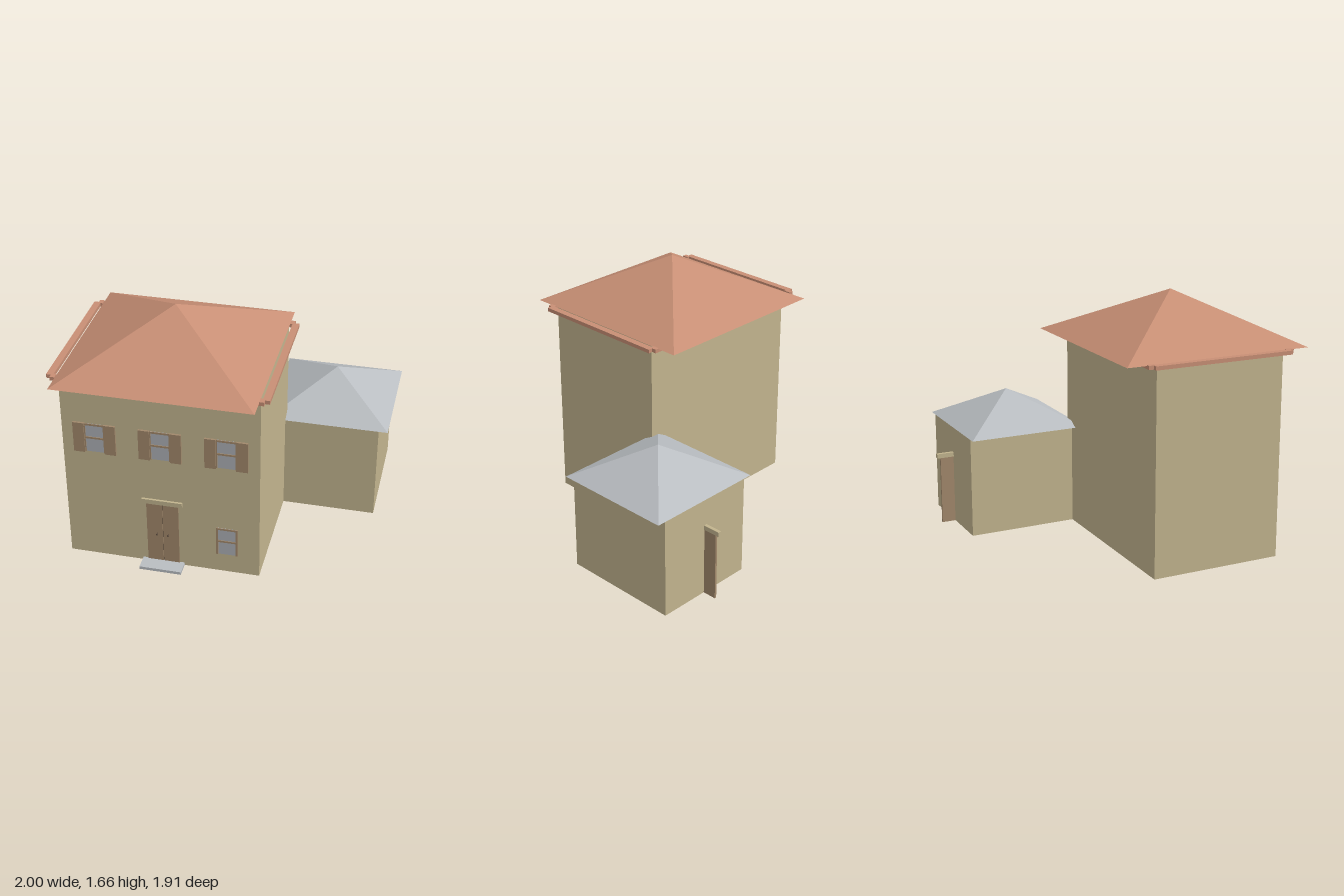
import * as THREE from 'three';

const mat = (name, color, flat = false) => {
  const m = new THREE.MeshStandardMaterial({ color, flatShading: flat });
  m.name = name;
  return m;
};

export function createModel() {
  const house = new THREE.Group();
  house.name = 'house';
  const plaster = mat('plaster', 0xc2b48e);
  const tile = mat('terracotta', 0xc88f75, true);
  const slate = mat('slate grey', 0xb9bdc1, true);
  const wood = mat('brown wood', 0xa1886b);
  const glass = mat('window glass', 0xabafb4);
  const metal = mat('dark metal', 0x5c4c3e);

  // Box given by its min and max on each axis
  const box = (name, m, x0, x1, y0, y1, z0, z1, parent = house) => {
    const mesh = new THREE.Mesh(new THREE.BoxGeometry(x1 - x0, y1 - y0, z1 - z0), m);
    mesh.position.set((x0 + x1) / 2, (y0 + y1) / 2, (z0 + z1) / 2);
    mesh.name = name;
    parent.add(mesh);
    return mesh;
  };

  // Four-sided pyramid roof with a closed underside
  const roof = (name, m, x0, x1, y0, y1, z0, z1) => {
    const g = new THREE.ConeGeometry(Math.SQRT1_2, 1, 4);
    g.rotateY(Math.PI / 4);
    g.scale(x1 - x0, y1 - y0, z1 - z0);
    const mesh = new THREE.Mesh(g, m);
    mesh.position.set((x0 + x1) / 2, (y0 + y1) / 2, (z0 + z1) / 2);
    mesh.name = name;
    house.add(mesh);
  };

  // Main block and annex
  const F = 0.768; // front wall plane
  box('mainWalls', plaster, -0.94, 0.317, 0, 1.348, -0.11, F);
  roof('mainRoof', tile, -0.94, 0.317, 1.348, 1.665, -0.305, 0.952);
  box('annexWalls', plaster, 0.25, 0.94, 0, 0.67, -0.84, -0.047);
  roof('annexRoof', slate, 0.195, 1, 0.67, 0.89, -0.845, -0.043);

  // Eaves trim: rails around the wall head, stepped at the corners
  for (const x of [-1, 0.333]) box('sideEaveRail', tile, x, x + 0.044, 1.33, 1.355, -0.147, 0.8);
  for (const z of [-0.177, 0.78]) {
    box('endEaveRail', tile, -0.97, 0.347, 1.33, 1.347, z, z + 0.045);
    // End caps rise to the full rail height beyond the roof edge
    box('eaveCornerRight', tile, -0.97, -0.94, 1.33, 1.355, z, z + 0.045);
    box('eaveCornerLeft', tile, 0.317, 0.347, 1.33, 1.355, z, z + 0.045);
  }

  // Windows: pane, frame bars and optional shutters
  const addWindow = (cx, y0, shutters) => {
    const w = new THREE.Group();
    w.name = 'window';
    house.add(w);
    const y1 = y0 + 0.207;
    box('pane', glass, cx - 0.06, cx + 0.06, y0, y1, F - 0.004, F + 0.001, w);
    for (const s of [-1, 1]) {
      const x = cx + s * 0.064;
      box('frameStile', wood, x - 0.007, x + 0.007, y0, y1, F, F + 0.007, w);
      if (shutters) {
        const sx = cx + s * 0.1;
        box('shutter', wood, sx - 0.036, sx + 0.036, y0 - 0.003, y1 + 0.003, F, F + 0.014, w);
      }
    }
    for (const y of [y1 - 0.014, y0 + 0.097])
      box('frameRail', wood, cx - 0.06, cx + 0.06, y, y + 0.013, F, F + 0.006, w);
  };
  for (const cx of [-0.73, -0.312, 0.106]) addWindow(cx, 0.807, true);
  addWindow(0.107, 0.136, false);

  // Front door: two leaves, knobs, lintel and step
  const dx = -0.311;
  for (const s of [-1, 1]) {
    const c = dx + s * 0.053;
    box('doorLeaf', wood, c - 0.0515, c + 0.0515, 0.01, 0.466, F, F + 0.007);
    const knob = new THREE.Mesh(new THREE.SphereGeometry(0.007, 10, 8), metal);
    knob.position.set(dx + s * 0.036, 0.236, F + 0.02);
    knob.name = 'doorKnob';
    house.add(knob);
    box('knobStem', metal, dx + s * 0.036 - 0.003, dx + s * 0.036 + 0.003, 0.233, 0.239, F, F + 0.018);
  }
  box('doorGap', metal, dx - 0.0015, dx + 0.0015, 0.01, 0.466, F, F + 0.002);
  box('doorLintel', plaster, -0.444, -0.18, 0.468, 0.5, F, F + 0.015);
  box('doorStep', slate, -0.45, -0.175, 0, 0.02, F - 0.01, 0.87);

  // Rear door standing out from the annex wall
  box('rearDoor', wood, 0.588, 0.602, 0, 0.46, -0.932, -0.83);
  box('rearLintel', plaster, 0.583, 0.606, 0.46, 0.49, -0.957, -0.83);

  return house;
}
